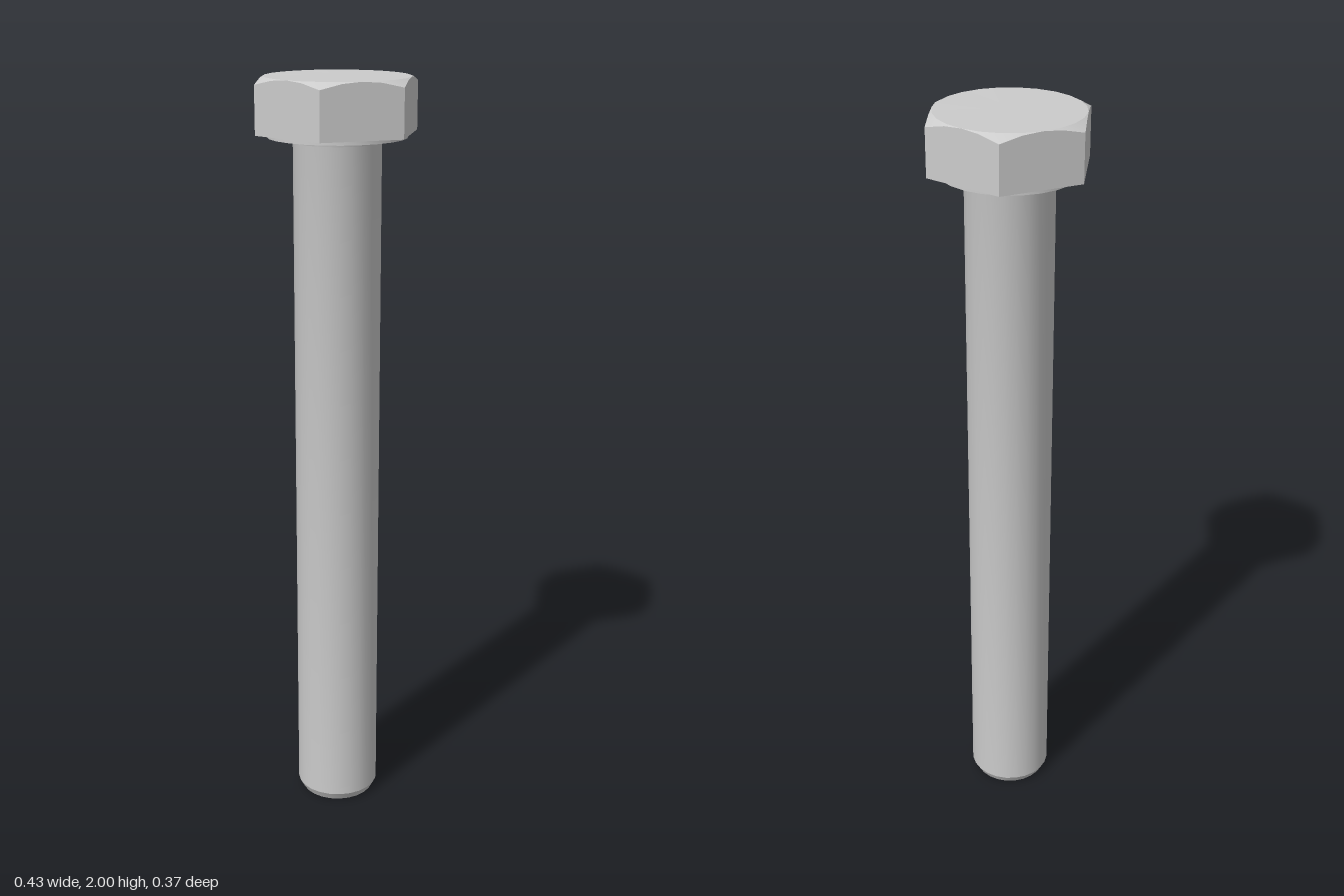
import * as THREE from 'three';
import { toCreasedNormals } from 'three/addons/utils/BufferGeometryUtils.js';

const SIDES = 24;
const CREASE = THREE.MathUtils.degToRad(25);
const APOTHEM = 0.185, HEAD_BOTTOM = 1.862, HEAD_TOP = 2;
const SHANK_R = 0.112, WASHER_R = 0.177, WASHER_BOTTOM = 1.852, FILLET = 0.012;

const material = new THREE.MeshStandardMaterial({ color: 0xcccccc });

function lathe(points) {
  return new THREE.LatheGeometry(points.map(([r, y]) => new THREE.Vector2(r, y)), SIDES);
}

function addPart(group, name, geometry) {
  const mesh = new THREE.Mesh(toCreasedNormals(geometry, CREASE), material);
  mesh.name = name;
  group.add(mesh);
}

// Distance from the axis to a regular hexagon with corners on the x axis
function hexRadius(angle) {
  const sector = Math.PI / 3;
  const a = ((angle % sector) + sector) % sector;
  return APOTHEM / Math.cos(a - sector / 2);
}

// Lathe whose outer rings are pushed out to a hexagon; the top follows a 30 degree chamfer cone
function headGeometry() {
  const outer = 0.2;
  const geometry = lathe([
    [0, HEAD_BOTTOM], [outer, HEAD_BOTTOM], [outer, HEAD_TOP - 0.01],
    [APOTHEM - 0.0005, HEAD_TOP], [0, HEAD_TOP],
  ]);
  const p = geometry.attributes.position;
  for (let i = 0; i < p.count; i++) {
    const x = p.getX(i), z = p.getZ(i);
    if (Math.hypot(x, z) < outer - 0.005) continue;
    const angle = Math.atan2(z, x), r = hexRadius(angle);
    const y = p.getY(i) > HEAD_BOTTOM + 0.01
      ? HEAD_TOP - (r - APOTHEM) * Math.tan(Math.PI / 6) : HEAD_BOTTOM;
    p.setXYZ(i, r * Math.cos(angle), y, r * Math.sin(angle));
  }
  return geometry;
}

export function createModel() {
  const group = new THREE.Group();
  group.name = 'hexBolt';

  addPart(group, 'hexHead', headGeometry());

  // Thin round bearing face under the head
  addPart(group, 'washerFace', lathe([
    [SHANK_R, WASHER_BOTTOM], [WASHER_R, WASHER_BOTTOM], [WASHER_R, HEAD_BOTTOM],
  ]));

  // Shank with chamfered tip and a small fillet into the washer face
  const profile = [[0, 0], [0.1, 0], [SHANK_R, 0.022]];
  for (let i = 0; i <= 4; i++) {
    const t = (i / 4) * Math.PI / 2;
    profile.push([
      SHANK_R + FILLET * (1 - Math.cos(t)),
      WASHER_BOTTOM - FILLET * (1 - Math.sin(t)),
    ]);
  }
  addPart(group, 'shank', lathe(profile));

  return group;
}
